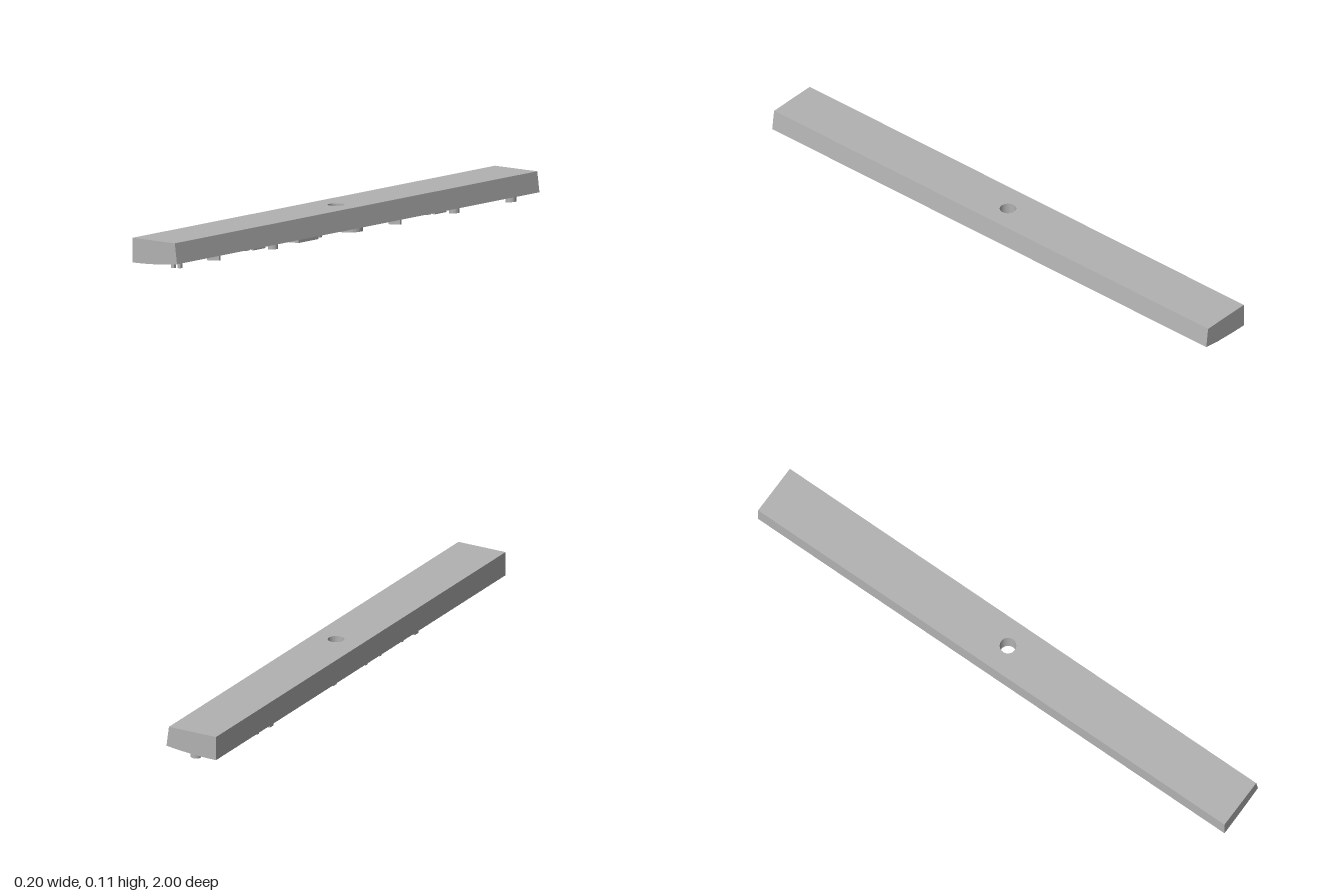
import * as THREE from 'three';

const HOLE = 0.029;
const TOP = 0.115;
// height of the gently curved underside at x
const under = (x) => 0.028 + 0.014 * ((x + 0.1) / 0.2) ** 2;

// Long bar with curved underside, one slanted side and a round hole through it
function barGeometry() {
  const xs = [-0.1, -0.075, -0.05];
  const n = 14;
  for (let i = 0; i <= n; i++) xs.push(-HOLE * Math.cos((Math.PI * i) / n));
  xs.push(0.05, 0.075, 0.1);

  const pos = [];
  const half = (x) => Math.sqrt(Math.max(0, HOLE * HOLE - x * x));
  const T = (x, z) => [Math.min(x, 0.09), TOP, z];
  const B = (x, z) => [x, under(x), z];

  for (const s of [1, -1]) {
    const quad = (a, b, c, d) => {
      const q = s > 0 ? [a, b, c, d] : [d, c, b, a];
      for (const k of [0, 1, 2, 0, 2, 3]) pos.push(q[k][0], q[k][1], q[k][2] * s);
    };
    for (let i = 0; i < xs.length - 1; i++) {
      const x0 = xs[i], x1 = xs[i + 1], h0 = half(x0), h1 = half(x1);
      quad(T(x0, h0), T(x0, 1), T(x1, 1), T(x1, h1));
      quad(B(x1, h1), B(x1, 1), B(x0, 1), B(x0, h0));
      quad(B(x0, 1), B(x1, 1), T(x1, 1), T(x0, 1));
      if (h0 + h1 > 1e-6) quad(T(x0, h0), T(x1, h1), B(x1, h1), B(x0, h0));
    }
    quad(B(-0.1, 0), B(-0.1, 1), T(-0.1, 1), T(-0.1, 0));
    quad(T(0.1, 0), T(0.1, 1), B(0.1, 1), B(0.1, 0));
  }
  const g = new THREE.BufferGeometry();
  g.setAttribute('position', new THREE.Float32BufferAttribute(pos, 3));
  g.computeVertexNormals();
  return g;
}

// Plan outlines in (x, z)
const outline = (pts) => new THREE.Shape(pts.map(([x, z]) => new THREE.Vector2(x, z)));
const rect = (x0, x1, z0, z1) => outline([[x0, z0], [x1, z0], [x1, z1], [x0, z1]]);
function disc(x, z, r, inner = 0) {
  const shape = new THREE.Shape().absarc(x, z, r, 0, Math.PI * 2);
  if (inner) shape.holes.push(new THREE.Path().absarc(x, z, inner, 0, Math.PI * 2, true));
  return shape;
}

// Boss that hangs from the underside and follows its curve
function bossGeometry(shape) {
  const g = new THREE.ExtrudeGeometry(shape, { depth: 1, bevelEnabled: false, curveSegments: 12 });
  g.rotateX(Math.PI / 2);
  const p = g.attributes.position;
  for (let i = 0; i < p.count; i++) {
    p.setY(i, under(p.getX(i)) + (p.getY(i) < -0.5 ? -0.0275 : 0.001));
  }
  g.computeVertexNormals();
  return g;
}

export function createModel() {
  const group = new THREE.Group();
  const grey = new THREE.MeshStandardMaterial({ color: 0xb2b2b2 });
  grey.name = 'grey';

  const add = (name, geometry) => {
    const mesh = new THREE.Mesh(geometry, grey);
    mesh.name = name;
    group.add(mesh);
  };
  const boss = (name, shape) => add(name, bossGeometry(shape));

  add('bar', barGeometry());

  // Groups repeated one unit apart along the bar
  for (const z of [-0.61, 0.39]) {
    boss('roundPeg', disc(0.007, z - 0.034, 0.018));
    boss('crossRib', rect(-0.048, -0.036, z - 0.045, z + 0.02));
    boss('endRib', rect(-0.07, -0.045, z - 0.055, z - 0.043));
    boss('squarePeg', rect(-0.075, -0.05, z + 0.025, z + 0.05));
    boss('thinRib', rect(-0.026, 0.027, z + 0.281, z + 0.289));
  }

  // Ring and U-shaped bracket near the middle
  boss('ring', disc(-0.031, -0.125, 0.04, 0.029));
  boss('bracket', outline([
    [-0.07, 0.085], [-0.01, 0.085], [-0.01, 0.195], [-0.07, 0.195],
    [-0.07, 0.183], [-0.022, 0.183], [-0.022, 0.097], [-0.07, 0.097],
  ]));
  boss('middlePeg', disc(-0.048, 0.048, 0.018));

  // Small pegs near the two ends
  boss('backPeg', disc(0.008, -0.955, 0.019));
  for (const x of [0.019, -0.01]) boss('frontPin', rect(x - 0.007, x + 0.007, 0.879, 0.889));

  return group;
}
